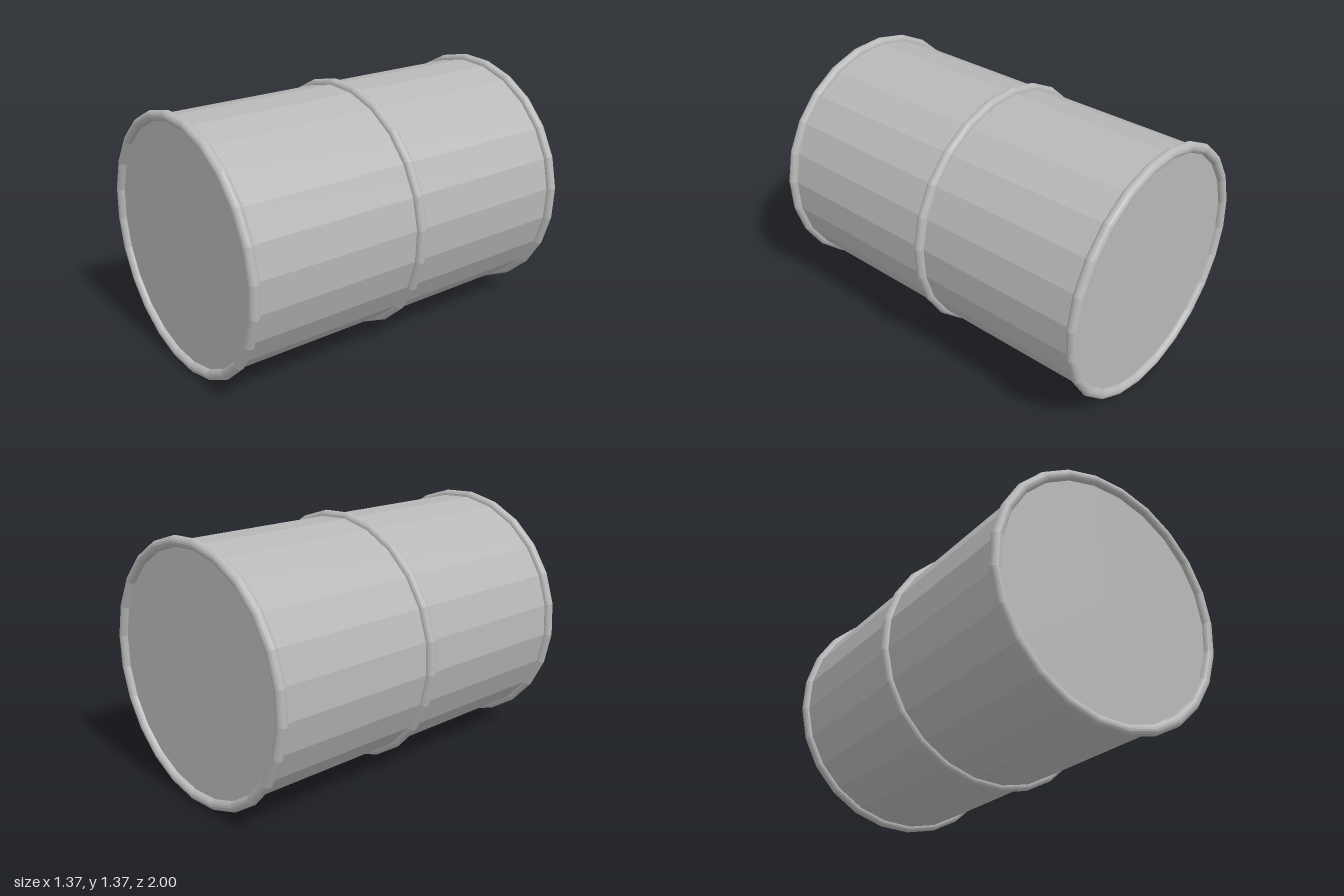
import * as THREE from 'three';

const SIDES = 24;
const TUBE = 0.0275; // ring thickness radius
const RADIUS = 0.6575;

export function createModel() {
  const group = new THREE.Group();
  group.name = 'barrel';

  const metal = new THREE.MeshStandardMaterial({ color: 0xb8b8b8, flatShading: true });
  metal.name = 'grey metal';

  // Drum lying along z, with flat lids slightly recessed in the end rings
  const drum = new THREE.Group();
  drum.name = 'drum';
  const bodyGeometry = new THREE.CylinderGeometry(0.656, 0.656, 1.94, SIDES);
  bodyGeometry.rotateX(Math.PI / 2);
  const body = new THREE.Mesh(bodyGeometry, metal);
  body.name = 'drumBody';
  drum.add(body);

  // Rolled rings at both ends and around the middle
  const ringGeometry = new THREE.TorusGeometry(RADIUS, TUBE, 16, SIDES);
  const rings = { frontRing: 1 - TUBE, middleRing: -0.014, backRing: TUBE - 1 };
  for (const [name, z] of Object.entries(rings)) {
    const ring = new THREE.Mesh(ringGeometry, metal);
    ring.name = name;
    ring.position.z = z;
    drum.add(ring);
  }

  // The drum has rolled a few degrees on its side
  drum.rotation.z = THREE.MathUtils.degToRad(4.8);
  drum.position.y = 0.683;
  group.add(drum);
  return group;
}
